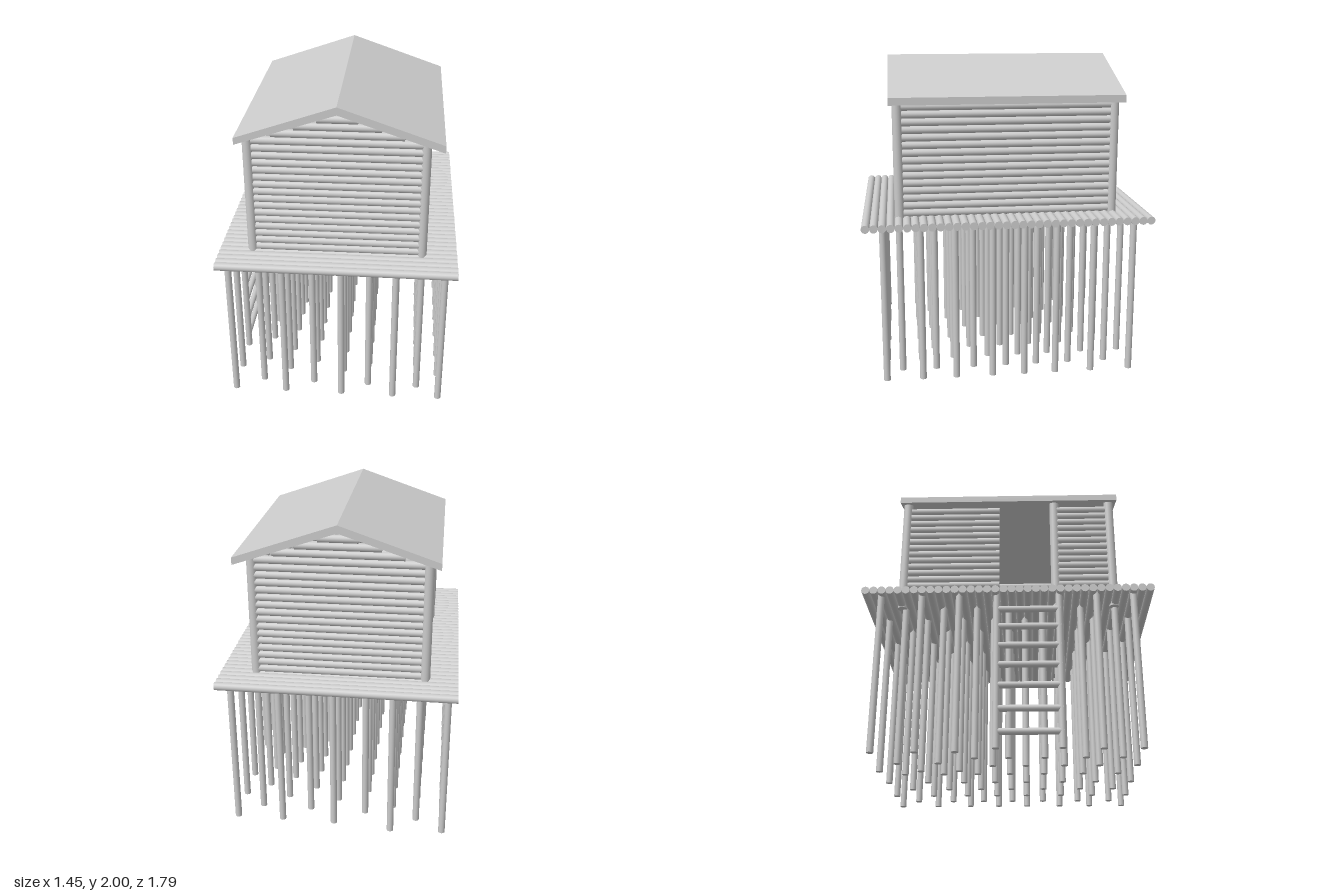
import * as THREE from 'three';

const material = new THREE.MeshStandardMaterial({ color: 0xcccccc });

// Round log between two points
function log(name, a, b, radius) {
  const from = new THREE.Vector3(...a), to = new THREE.Vector3(...b);
  const dir = to.clone().sub(from);
  const mesh = new THREE.Mesh(new THREE.CylinderGeometry(radius, radius, dir.length(), 16), material);
  mesh.name = name;
  mesh.position.copy(from).add(to).multiplyScalar(0.5);
  mesh.quaternion.setFromUnitVectors(new THREE.Vector3(0, 1, 0), dir.normalize());
  return mesh;
}

function group(name, parent) {
  const g = new THREE.Group();
  g.name = name;
  parent.add(g);
  return g;
}

export function createModel() {
  const model = new THREE.Group();
  model.name = 'stiltHut';

  // Deck of logs laid across the width
  const deck = group('deck', model);
  for (let i = 0; i < 36; i++) {
    const z = 0.865 - i * 0.0496;
    deck.add(log('deckLog', [-0.725, 1.028, z], [0.725, 1.028, z], 0.025));
  }

  // Staggered stilts: alternate columns use alternate rows
  const stilts = group('stilts', model);
  const columns = [-0.67, -0.5, -0.34, -0.165, 0.025, 0.195, 0.36, 0.515, 0.655];
  const rows = [
    [0.765, 0.54, 0.33, 0.1, -0.1, -0.3, -0.53, -0.78],
    [0.665, 0.45, 0.21, 0, -0.2, -0.41, -0.65],
  ];
  columns.forEach((x, c) => {
    for (const z of rows[c % 2]) {
      if (c === 0 && z < 0.4 && z > -0.2) continue; // ladder stands here
      const foot = x < -0.3 && z < -0.25 ? (c === 0 ? 0.015 : 0) : 0.03;
      stilts.add(log('stilt', [x, foot, z], [x, 1.02, z], 0.021));
    }
  });

  // Ladder below the doorway
  const ladder = group('ladder', model);
  for (const z of [0.31, -0.07]) {
    ladder.add(log('ladderRail', [-0.67, 0.035, z], [-0.67, 1.02, z], 0.021));
  }
  for (const y of [0.135, 0.275, 0.42, 0.55, 0.675, 0.8, 0.915]) {
    ladder.add(log('ladderRung', [-0.67, y, 0.32], [-0.67, y, -0.06], 0.02));
  }

  // Corner posts and door post
  const left = 0.51, right = -0.525, front = 0.66, back = -0.67;
  const posts = group('posts', model);
  for (const [x, z] of [[left, front], [left, back], [right, front], [right, back], [right, 0.3]]) {
    posts.add(log('post', [x, 1, z], [x, 1.785, z], 0.03));
  }

  // Log walls; gable logs shorten under the roof slope
  const walls = group('walls', model);
  const pitch = 0.0467, radius = 0.0245;
  for (let i = 0; i < 19; i++) {
    const y = 1.068 + i * pitch;
    const reach = Math.min(0.5, (1.965 - y - 0.015) / 0.35);
    for (const z of [front, back]) {
      walls.add(log('gableWallLog', [-reach, y, z], [reach, y, z], radius));
    }
    if (i > 14) continue;
    walls.add(log('leftWallLog', [left, y, 0.635], [left, y, -0.645], radius));
    walls.add(log('rightWallLog', [right, y, -0.06], [right, y, -0.645], radius));
    walls.add(log('rightWallLog', [right, y, 0.635], [right, y, 0.31], radius));
  }

  // Pitched roof slab
  const profile = new THREE.Shape([
    [-0.595, 1.755], [0, 1.952], [0.617, 1.742], [0.617, 1.787], [0, 2], [-0.595, 1.797],
  ].map(([x, y]) => new THREE.Vector2(x, y)));
  const roof = new THREE.Mesh(
    new THREE.ExtrudeGeometry(profile, { depth: 1.425, bevelEnabled: false }), material);
  roof.name = 'roof';
  roof.position.z = -0.715;
  model.add(roof);

  return model;
}
